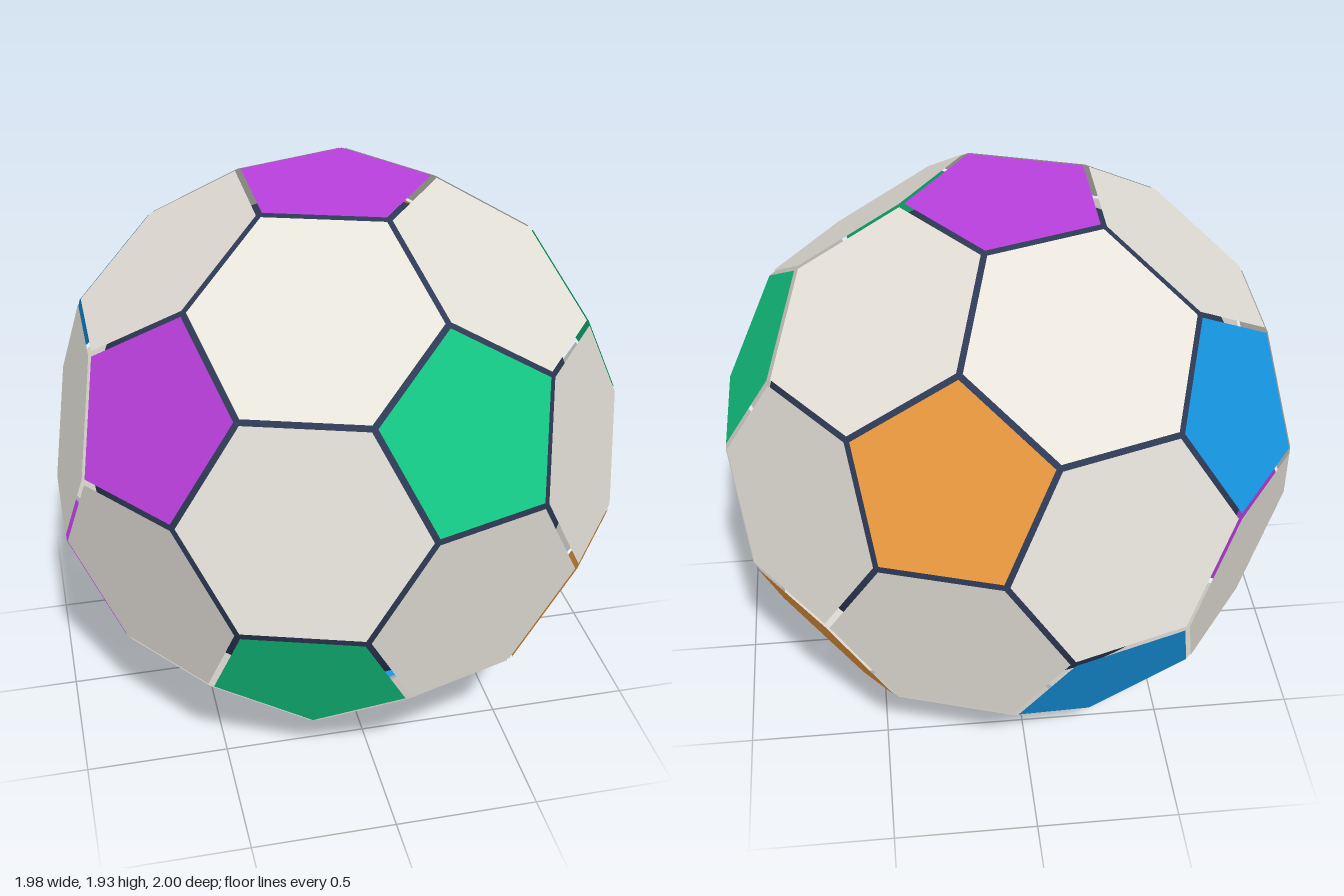
import * as THREE from 'three';

const EDGE = 0.4145;              // edge of the truncated icosahedron
const GAP = 0.011;                // inset of every panel side
const PENT_DIST = 2.3274 * EDGE;  // centre to pentagon plane
const HEX_DIST = 2.2673 * EDGE;   // centre to hexagon plane

const mat = (name, color, side = THREE.DoubleSide) => {
  const m = new THREE.MeshStandardMaterial({ color, side });
  m.name = name;
  return m;
};

export function createModel() {
  const model = new THREE.Group();
  model.name = 'panelBall';
  const ball = new THREE.Group();
  ball.name = 'ball';
  ball.position.y = PENT_DIST;
  model.add(ball);

  const white = mat('warm white', 0xe6e2da);
  const purple = mat('purple', 0xb83fdc);
  const green = mat('green', 0x14c884);
  const blue = mat('blue', 0x1698e6);
  const orange = mat('orange', 0xf09c40);
  const navy = mat('seam navy', 0x2e3a56, THREE.FrontSide);

  // Flat panels, shrunk a little to leave open seams
  const pentR = 0.85065 * EDGE - GAP / Math.cos(Math.PI / 5);
  const hexR = EDGE - GAP / Math.cos(Math.PI / 6);
  const pentUp = new THREE.CircleGeometry(pentR, 5, Math.PI / 2);
  const pentDown = new THREE.CircleGeometry(pentR, 5, -Math.PI / 2);
  const hex = new THREE.CircleGeometry(hexR, 6);

  // Places a panel facing outwards; azimuth runs from +x towards +z
  const panel = (name, geometry, material, azimuth, elevation, distance) => {
    const az = THREE.MathUtils.degToRad(azimuth);
    const el = THREE.MathUtils.degToRad(elevation);
    const mesh = new THREE.Mesh(geometry, material);
    mesh.name = name;
    mesh.rotation.set(-el, Math.PI / 2 - az, 0, 'YXZ');
    mesh.position.set(
      Math.cos(el) * Math.cos(az), Math.sin(el), Math.cos(el) * Math.sin(az)
    ).multiplyScalar(distance);
    ball.add(mesh);
  };

  // Dark core seen through the seams
  const core = new THREE.Mesh(new THREE.SphereGeometry(0.87, 64, 40), navy);
  core.name = 'core';
  ball.add(core);

  // Coloured pentagons
  const upper = [green, green, purple, blue, orange];
  const lower = [orange, green, purple, blue, orange];
  panel('topPentagon', pentDown, purple, 0, 90, PENT_DIST);
  panel('bottomPentagon', pentDown, blue, 0, -90, PENT_DIST);
  for (let i = 0; i < 5; i++) {
    const a = i * 72;
    panel('upperPentagon', pentUp, upper[i], a, 26.565, PENT_DIST);
    panel('lowerPentagon', pentDown, lower[i], a + 36, -26.565, PENT_DIST);

    // White hexagons in four rings
    panel('topHexagon', hex, white, a + 36, 52.623, HEX_DIST);
    panel('upperHexagon', hex, white, a + 36, 10.812, HEX_DIST);
    panel('lowerHexagon', hex, white, a, -10.812, HEX_DIST);
    panel('bottomHexagon', hex, white, a, -52.623, HEX_DIST);
  }
  return model;
}
